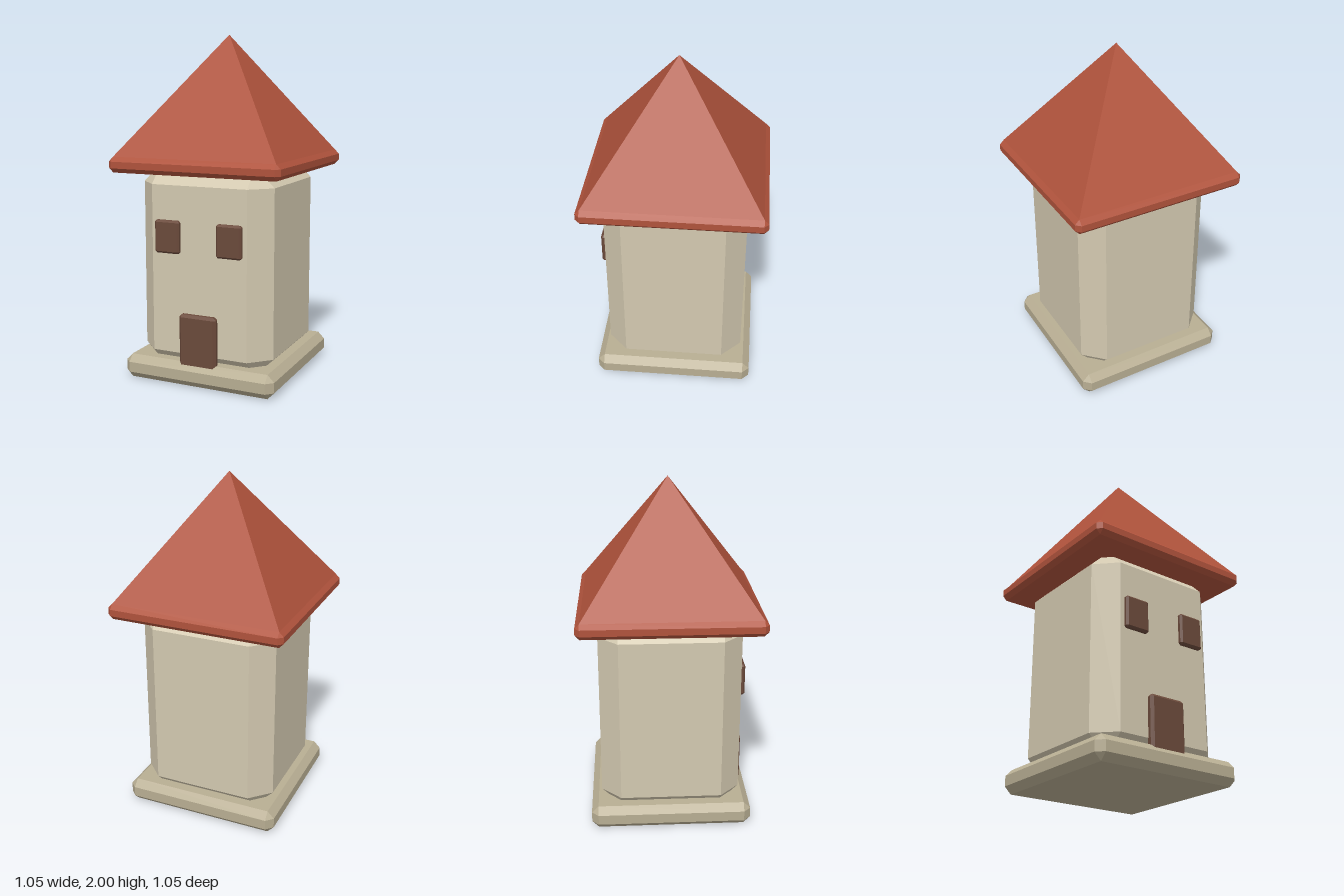
import * as THREE from 'three';
import { ConvexGeometry } from 'three/addons/geometries/ConvexGeometry.js';

const material = (name, color) => {
  const m = new THREE.MeshStandardMaterial({ color, flatShading: true });
  m.name = name;
  return m;
};

// Box between two corners with every edge cut at 45 degrees
function chamferedBox(min, max, bevel) {
  const centre = min.map((v, i) => (v + max[i]) / 2);
  const half = max.map((v, i) => (v - min[i]) / 2);
  const points = [];
  for (const sx of [-1, 1]) for (const sy of [-1, 1]) for (const sz of [-1, 1]) {
    const sign = [sx, sy, sz];
    for (let axis = 0; axis < 3; axis++) {
      const p = sign.map((s, i) => centre[i] + s * (half[i] - (i === axis ? 0 : bevel)));
      points.push(new THREE.Vector3(...p));
    }
  }
  return new ConvexGeometry(points);
}

export function createModel() {
  const tower = new THREE.Group();
  tower.name = 'tower';
  const stone = material('base stone', 0xb8ae93);
  const plaster = material('wall plaster', 0xd3c9b0);
  const tile = material('roof tile', 0xb0533c);
  const wood = material('dark wood', 0x6b4a3b);

  const add = (name, geometry, mat) => {
    const mesh = new THREE.Mesh(geometry, mat);
    mesh.name = name;
    tower.add(mesh);
    return mesh;
  };

  // Plinth and walls
  add('base', chamferedBox([-0.47, 0, -0.47], [0.47, 0.14, 0.47], 0.04), stone);
  add('walls', chamferedBox([-0.41, 0.065, -0.41], [0.41, 1.27, 0.41], 0.115), plaster);

  // Roof: eaves slab with a pyramid on top
  add('eaves', chamferedBox([-0.523, 1.22, -0.523], [0.523, 1.31, 0.523], 0.026), tile);
  const pyramid = new THREE.ConeGeometry(0.497 * Math.SQRT2, 0.69, 4);
  pyramid.rotateY(Math.PI / 4);
  add('roof', pyramid, tile).position.y = 1.655;

  // Door and the pair of front windows
  add('door', chamferedBox([-0.115, 0.005, 0.39], [0.115, 0.42, 0.444], 0.015), wood);
  for (const [name, x] of [['leftWindow', 0.192], ['rightWindow', -0.192]]) {
    add(name, chamferedBox([x - 0.077, 0.765, 0.385], [x + 0.077, 0.955, 0.436], 0.011), wood);
  }
  return tower;
}
